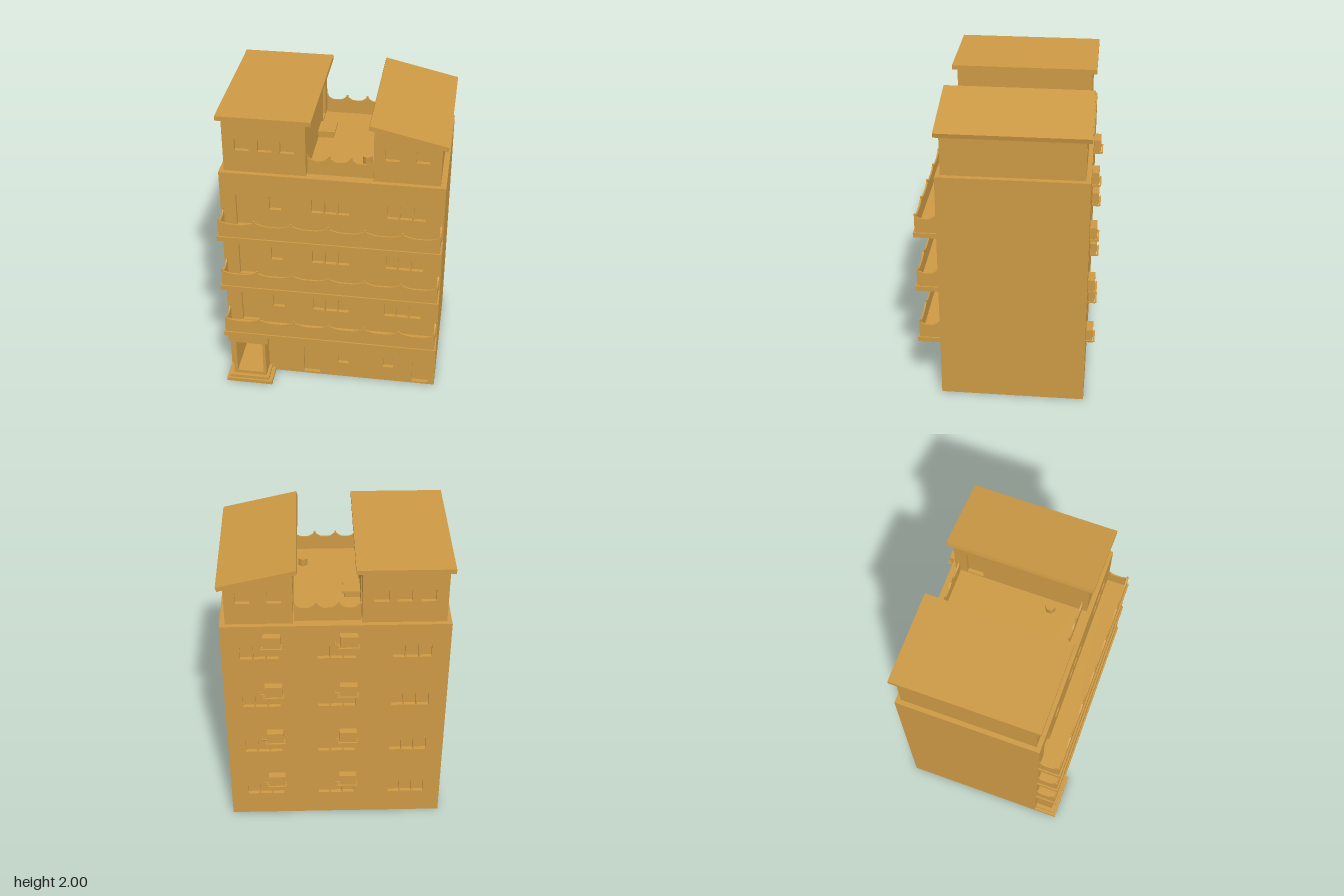
import * as THREE from 'three';

const material = new THREE.MeshStandardMaterial({ color: 0xcc9944, side: THREE.DoubleSide });
const rect = (x0, x1, y0, y1) => [[x0, y0], [x1, y0], [x1, y1], [x0, y1]];
const toPoints = (pts) => pts.map(([x, y]) => new THREE.Vector2(x, y));

export function createModel() {
  const root = new THREE.Group();

  function add(name, geometry, parent = root) {
    const mesh = new THREE.Mesh(geometry, material);
    mesh.name = name;
    parent.add(mesh);
    return mesh;
  }

  function box(name, x0, x1, y0, y1, z0, z1, parent) {
    const mesh = add(name, new THREE.BoxGeometry(x1 - x0, y1 - y0, z1 - z0), parent);
    mesh.position.set((x0 + x1) / 2, (y0 + y1) / 2, (z0 + z1) / 2);
    return mesh;
  }

  // Outline in x/y with openings, extruded between two depths
  function wall(name, outline, holes, z0, z1, parent) {
    const shape = new THREE.Shape(toPoints(outline));
    for (const hole of holes) shape.holes.push(new THREE.Path(toPoints(hole)));
    const mesh = add(name, new THREE.ExtrudeGeometry(shape, { depth: z1 - z0, bevelEnabled: false }), parent);
    mesh.position.z = z0;
    return mesh;
  }

  // Thin parapet with small posts and a sagging top edge between them
  function parapet(name, x0, x1, y, spans, peak, valley, z, parent) {
    const step = (x1 - x0) / spans;
    const shape = new THREE.Shape();
    shape.moveTo(x0, y);
    shape.lineTo(x0, y + peak);
    for (let i = 0; i < spans; i++) {
      const a = x0 + i * step, b = a + step, w = 0.006;
      shape.lineTo(a + w, y + peak);
      shape.lineTo(a + w, y + peak - 0.012);
      shape.quadraticCurveTo(a + step * 0.18, y + valley + 0.004, a + step * 0.34, y + valley);
      shape.lineTo(b - step * 0.34, y + valley);
      shape.quadraticCurveTo(b - step * 0.18, y + valley + 0.004, b - w, y + peak - 0.012);
      shape.lineTo(b - w, y + peak);
      shape.lineTo(b, y + peak);
    }
    shape.lineTo(x1, y);
    const geometry = new THREE.ExtrudeGeometry(shape, { depth: 0.01, bevelEnabled: false, curveSegments: 5 });
    const mesh = add(name, geometry, parent);
    mesh.position.z = z;
    return mesh;
  }

  // Turn a wall so its local x runs towards -z, with its base plane at x
  function turn(mesh, x) {
    mesh.rotation.y = Math.PI / 2;
    mesh.position.set(x, 0, 0);
  }

  // Main block: recessed doors and windows in the front and back skins
  const L = -0.715, R = 0.705, skin = 0.025, floor = 0.39;
  const outline = rect(L, R, 0, 1.6);
  const entrance = rect(-0.645, -0.465, 0.07, 0.32);
  const frontHoles = [entrance,
    rect(-0.2, -0.09, 0.015, 0.24), rect(0.55, 0.66, 0.015, 0.24),
    rect(0.04, 0.11, 0.12, 0.24), rect(0.35, 0.42, 0.12, 0.24)];
  const frontWindows = [[-0.4, -0.325], [-0.13, -0.055], [-0.045, 0.03], [0.04, 0.11],
    [0.35, 0.42], [0.43, 0.505], [0.515, 0.59]];
  for (let i = 0; i < 3; i++) {
    const y = i * floor;
    frontHoles.push(rect(-0.615, -0.505, y + 0.435, y + 0.665));
    for (const [a, b] of frontWindows) frontHoles.push(rect(a, b, y + 0.57, y + 0.665));
  }
  const backHoles = [];
  for (let i = 0; i < 4; i++) {
    for (const x of [-0.6, -0.13, 0.35]) {
      for (let k = 0; k < 3; k++) {
        const a = x + k * 0.083;
        backHoles.push(rect(a, a + 0.074, i * floor + 0.18, i * floor + 0.275));
      }
    }
  }
  wall('frontWall', outline, frontHoles, 0.42 - skin, 0.42);
  wall('entranceBay', outline, [entrance], 0.12, 0.42 - skin);
  box('mainBlock', L, R, 0, 1.6, -0.52 + skin, 0.12);
  wall('backWall', outline, backHoles, -0.52, -0.52 + skin);

  // Entrance porch and hanging sign panel
  box('lowerStep', L, -0.4, 0, 0.025, 0.42, 0.575);
  box('upperStep', -0.695, -0.425, 0.025, 0.045, 0.42, 0.56);
  wall('porchFrame', rect(-0.67, -0.445, 0.045, 0.325), [entrance], 0.42, 0.535);
  box('porchLintel', -0.695, -0.425, 0.325, 0.4, 0.42, 0.537);
  box('signPanel', 0.04, 0.425, 0.3, 0.4, 0.53, 0.54);

  // Balconies
  for (let i = 0; i < 3; i++) {
    const balcony = new THREE.Group();
    balcony.name = 'balcony';
    balcony.position.y = i * floor;
    root.add(balcony);
    box('balconySlab', L, R, 0.398, 0.43, 0.42, 0.565, balcony);
    parapet('balconyFront', -0.705, 0.695, 0.43, 6, 0.128, 0.095, 0.545, balcony);
    for (const x of [-0.705, 0.685]) {
      turn(parapet('balconySide', -0.555, -0.42, 0.43, 1, 0.128, 0.095, 0, balcony), x);
    }
  }

  // Air conditioners on slatted shelves, with a pipe into the wall
  for (let i = 0; i < 4; i++) {
    for (const x of [-0.085, 0.39]) {
      const unit = new THREE.Group();
      unit.name = 'airConditioner';
      unit.position.set(x, i * floor, 0);
      root.add(unit);
      box('unitCase', -0.055, 0.055, 0.296, 0.373, -0.565, -0.52, unit);
      for (const z of [-0.578, -0.56, -0.542]) box('shelfSlat', -0.065, 0.065, 0.287, 0.296, z, z + 0.011, unit);
      for (const s of [-0.06, 0.05]) box('shelfBracket', s, s + 0.01, 0.28, 0.289, -0.57, -0.52, unit);
      const path = new THREE.CurvePath();
      const p = [[0.05, 0.31, -0.548], [0.086, 0.31, -0.548], [0.086, 0.31, -0.515]].map((v) => new THREE.Vector3(...v));
      path.add(new THREE.LineCurve3(p[0], p[1]));
      path.add(new THREE.LineCurve3(p[1], p[2]));
      add('unitPipe', new THREE.TubeGeometry(path, 8, 0.003, 6), unit);
    }
  }

  // Rooftop houses: core, skins with windows, terrace wall with a door
  function rooftopHouse(profile, core, windows, doorX, doorTop) {
    const holes = windows.map(([a, b]) => rect(a, b, 1.75, 1.83));
    wall('houseFront', profile, holes, 0.365, 0.39);
    wall('houseBack', profile, holes, -0.49, -0.465);
    wall('houseCore', core, [], -0.465, 0.365);
    const door = rect(0.3, 0.41, 1.612, 1.85);
    turn(wall('terraceWall', rect(-0.365, 0.465, 1.6, doorTop), [door], 0, skin), doorX);
  }
  rooftopHouse(rect(-0.685, -0.165, 1.6, 1.965), rect(-0.685, -0.19, 1.6, 1.965),
    [[-0.61, -0.52], [-0.465, -0.375], [-0.325, -0.235]], -0.19, 1.965);
  rooftopHouse([[0.255, 1.6], [0.67, 1.6], [0.67, 1.869], [0.255, 1.965]],
    [[0.28, 1.6], [0.67, 1.6], [0.67, 1.869], [0.28, 1.959]],
    [[0.325, 0.41], [0.515, 0.6]], 0.255, 1.961);
  box('flatRoof', L, -0.125, 1.965, 1.995, -0.52, 0.42);
  wall('slopedRoof', [[0.223, 1.972], [0.703, 1.86], [0.71, 1.889], [0.23, 2]], [], -0.52, 0.42);

  // Terrace: parapets, low hatch and vent
  for (const z of [0.35, -0.465]) parapet('terraceParapet', -0.16, 0.25, 1.6, 3, 0.132, 0.095, z);
  box('hatchBase', -0.165, -0.065, 1.6, 1.635, -0.22, -0.1);
  box('hatchLid', -0.165, -0.055, 1.635, 1.65, -0.23, -0.09);
  add('roofVent', new THREE.CylinderGeometry(0.033, 0.033, 0.05, 6)).position.set(0.193, 1.625, 0.17);

  return root;
}
